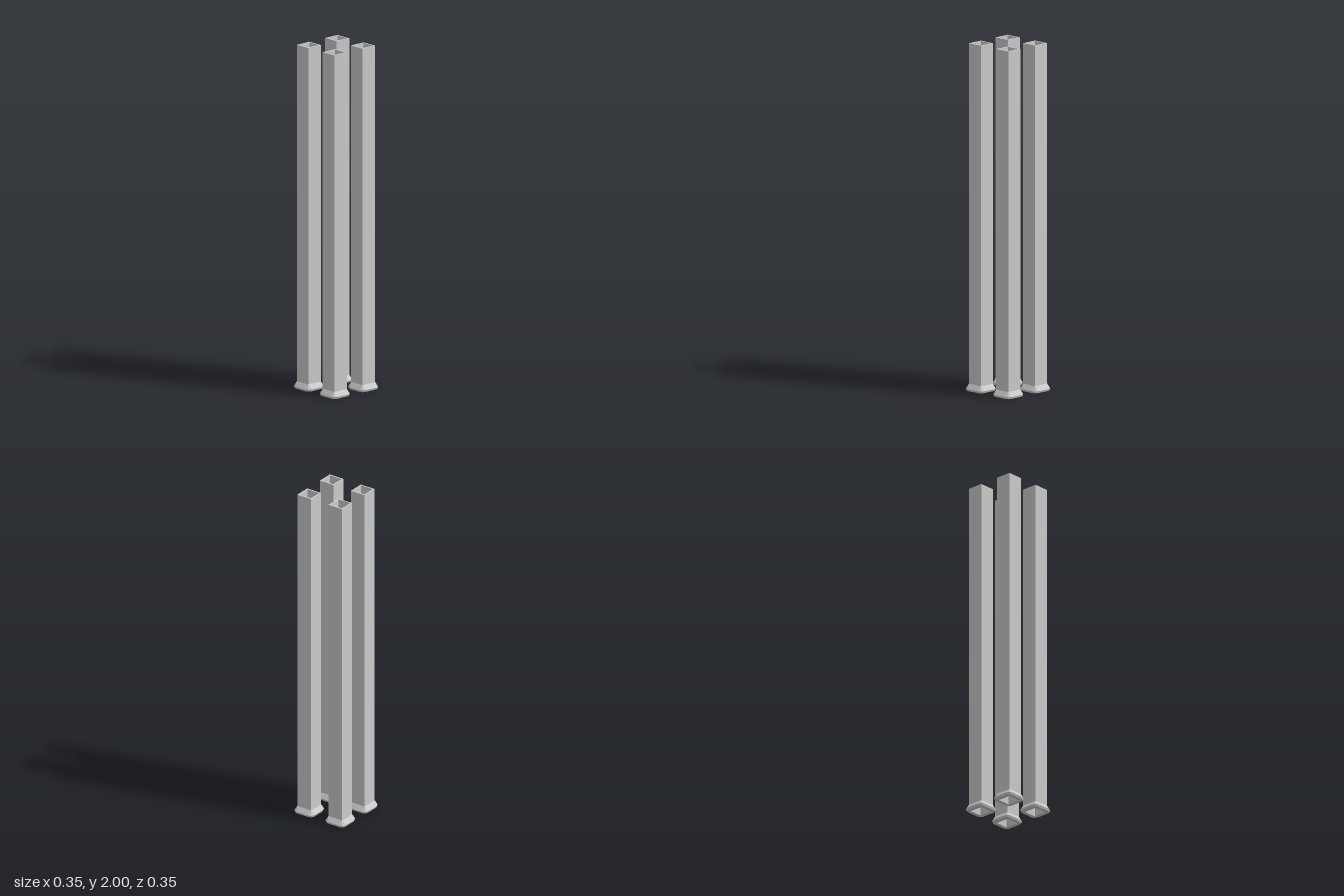
import * as THREE from 'three';

const OUTER = 0.048, INNER = 0.04, SPACING = 0.108, HEIGHT = 2;

const material = new THREE.MeshStandardMaterial({ color: 0xcccccc, flatShading: true });

// Square outline of the given half width, starting at one corner
function square(Type, h) {
  return new Type([[-h, -h], [h, -h], [h, h], [-h, h]].map(([x, y]) => new THREE.Vector2(x, y)));
}

// Hollow square post, open at both ends
function postGeometry() {
  const shape = square(THREE.Shape, OUTER);
  shape.holes.push(square(THREE.Path, INNER));
  return new THREE.ExtrudeGeometry(shape, { depth: HEIGHT, bevelEnabled: false, steps: 1 })
    .rotateX(-Math.PI / 2);
}

// Flared foot lofted through squares with two-segment rounded corners
function footGeometry() {
  const sections = [ // y, half width, corner radius
    [0, OUTER, 0],
    [0, 0.063, 0.023],
    [0.012, 0.068, 0.028],
    [0.039, OUTER, 0],
  ];
  const positions = [], indices = [], n = 12;
  for (const [y, half, r] of sections) {
    for (let corner = 0; corner < 4; corner++) {
      const mid = Math.PI / 4 + corner * Math.PI / 2;
      const cx = Math.sign(Math.cos(mid)) * (half - r);
      const cz = Math.sign(Math.sin(mid)) * (half - r);
      for (let k = -1; k <= 1; k++) {
        const a = mid + k * Math.PI / 4;
        positions.push(cx + r * Math.cos(a), y, cz + r * Math.sin(a));
      }
    }
  }
  for (let s = 0; s < sections.length - 1; s++) {
    for (let i = 0; i < n; i++) {
      const a = s * n + i, b = s * n + (i + 1) % n;
      indices.push(a, a + n, b, b, a + n, b + n);
    }
  }
  const geometry = new THREE.BufferGeometry();
  geometry.setAttribute('position', new THREE.Float32BufferAttribute(positions, 3));
  geometry.setIndex(indices);
  geometry.computeVertexNormals();
  return geometry;
}

export function createModel() {
  const model = new THREE.Group();
  model.name = 'legSet';
  const post = postGeometry(), foot = footGeometry();

  // Four identical legs in a square
  for (const [z, row] of [[SPACING, 'front'], [-SPACING, 'back']]) {
    for (const [x, side] of [[SPACING, 'Left'], [-SPACING, 'Right']]) {
      const leg = new THREE.Group();
      leg.name = `${row}${side}Leg`;
      for (const [name, geometry] of [['post', post], ['foot', foot]]) {
        const mesh = new THREE.Mesh(geometry, material);
        mesh.name = name;
        leg.add(mesh);
      }
      leg.position.set(x, 0, z);
      model.add(leg);
    }
  }
  return model;
}
